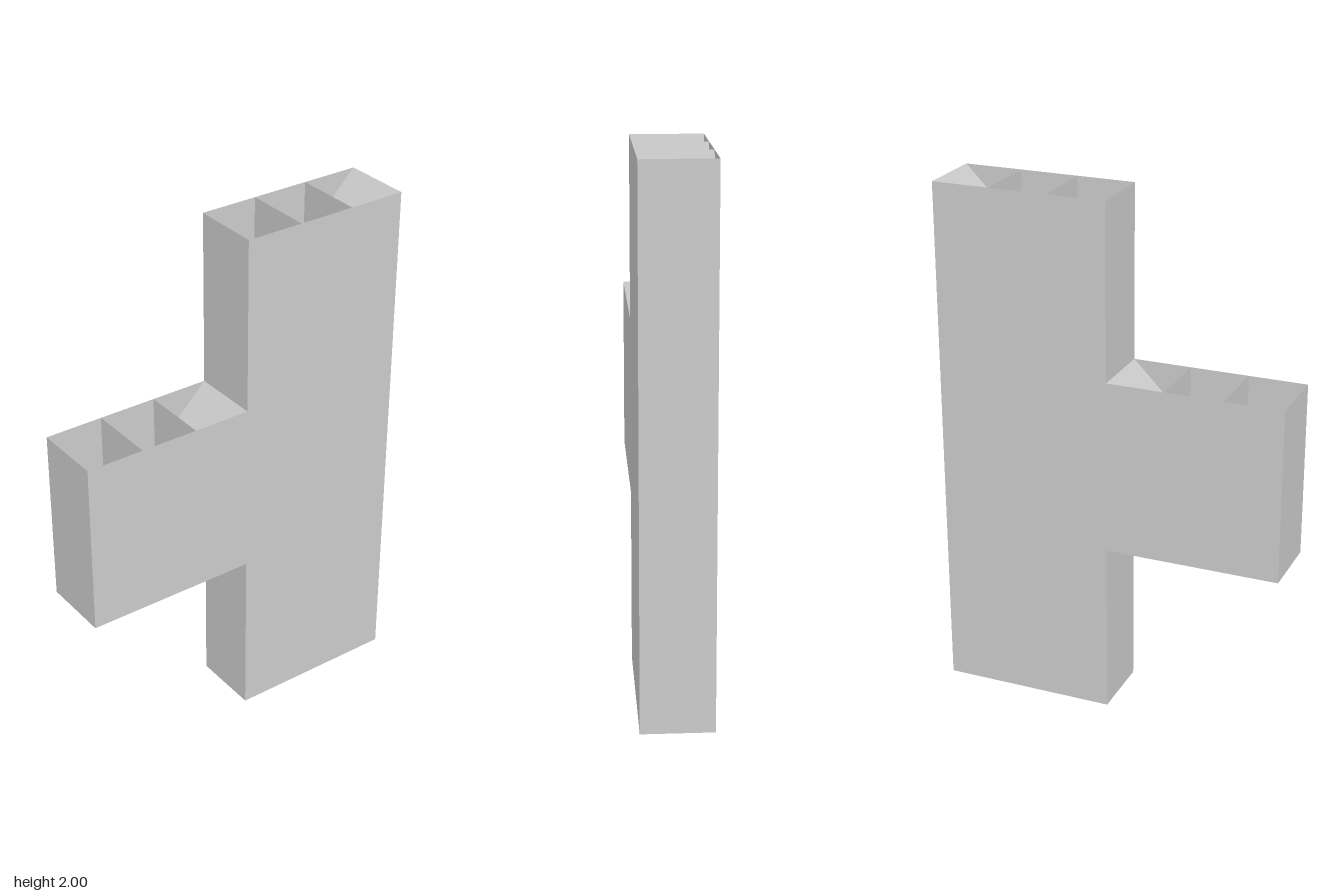
import * as THREE from 'three';

const S = 2 / 3;        // side of one square bay
const D = 0.266;        // depth between the two skins
const material = new THREE.MeshStandardMaterial({ color: 0xcccccc, flatShading: true, side: THREE.DoubleSide });

// Thin plate spanning the full depth between two points in the xy plane
function plate(name, x1, y1, x2, y2) {
  const geometry = new THREE.PlaneGeometry(Math.hypot(x2 - x1, y2 - y1), D);
  geometry.rotateX(-Math.PI / 2);
  geometry.rotateZ(Math.atan2(y2 - y1, x2 - x1));
  geometry.translate((x1 + x2) / 2, (y1 + y2) / 2, 0);
  const mesh = new THREE.Mesh(geometry, material);
  mesh.name = name;
  return mesh;
}

// Inner bracing of one square bay: dividers at the thirds, a steep brace per strip
function bay(name, x, y, hasDiagonal) {
  const group = new THREE.Group();
  group.name = name;
  const w = S / 3;
  for (let k = 0; k < 3; k++) {
    if (k > 0) group.add(plate('divider', x + k * w, y, x + k * w, y + S));
    group.add(plate('steepBrace', x + k * w, y + S, x + (k + 1) * w, y));
  }
  if (hasDiagonal) group.add(plate('diagonalBrace', x, y, x + S, y + S));
  return group;
}

export function createModel() {
  const model = new THREE.Group();
  model.name = 'bracedPanel';

  // Front and back skins: tall column with a square arm
  const outline = [[0, 0], [S, 0], [S, 2], [0, 2], [0, 2 * S], [-S, 2 * S], [-S, S], [0, S]];
  const shape = new THREE.Shape(outline.map(([x, y]) => new THREE.Vector2(x, y)));
  for (const side of [1, -1]) {
    const geometry = new THREE.ShapeGeometry(shape);
    if (side < 0) geometry.scale(-1, 1, 1).rotateY(Math.PI);
    geometry.translate(0, 0, side * D / 2);
    const skin = new THREE.Mesh(geometry, material);
    skin.name = side > 0 ? 'frontSkin' : 'backSkin';
    model.add(skin);
  }

  // Upright end walls; the tops and bottoms stay open
  model.add(plate('leftWall', S, 0, S, 2));
  model.add(plate('columnInnerWall', 0, 0, 0, 2));
  model.add(plate('armEndWall', -S, S, -S, 2 * S));

  // Bracing in the column and the arm
  model.add(bay('columnBottomBracing', 0, 0, false));
  model.add(bay('columnMiddleBracing', 0, S, true));
  model.add(bay('columnTopBracing', 0, 2 * S, true));
  model.add(bay('armBracing', -S, S, true));
  return model;
}
